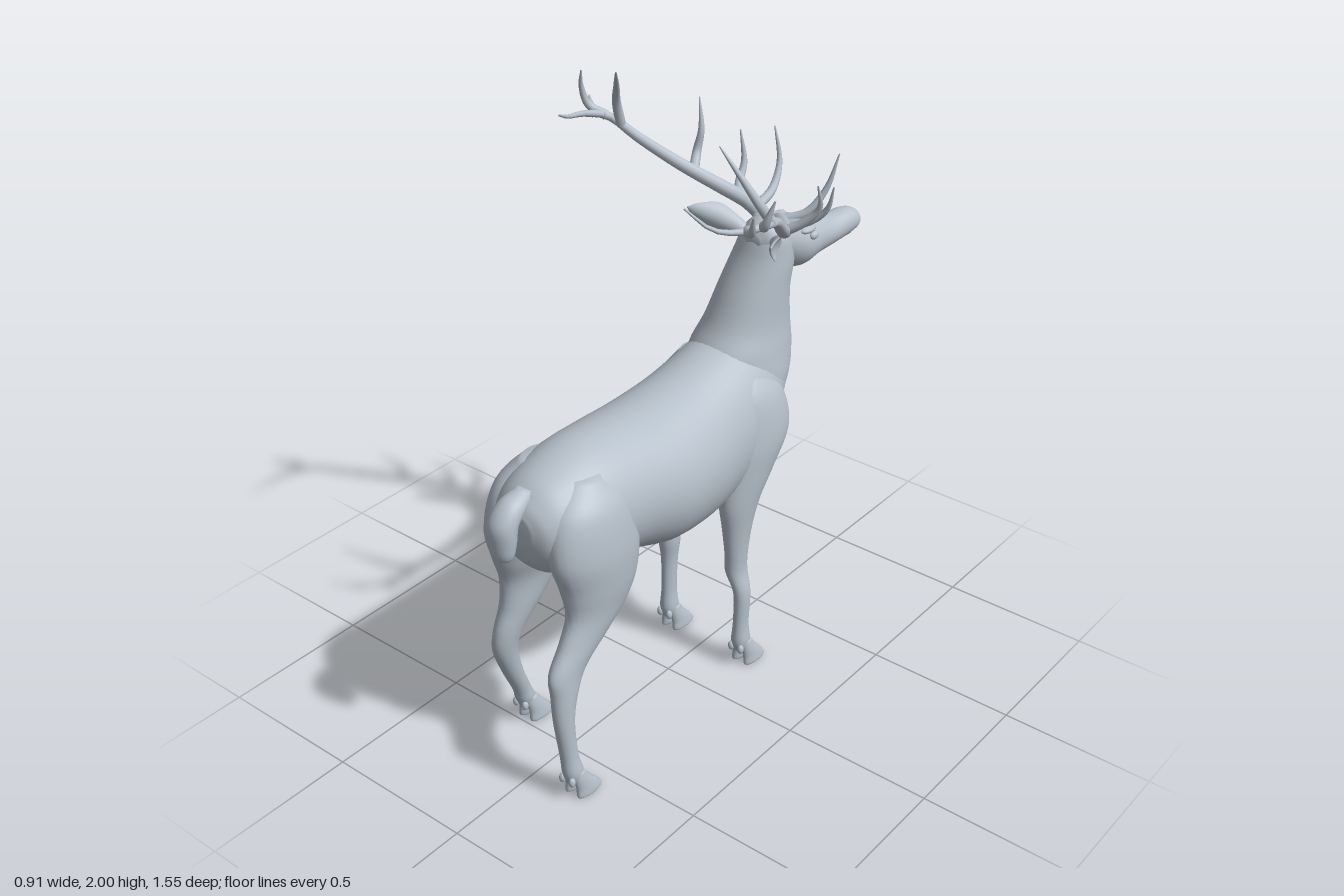
import * as THREE from 'three';

const hide = new THREE.MeshStandardMaterial({ color: 0xb6c0ca });
hide.name = 'pale slate';

// Smooth closed skin over elliptical rings [x, y, z, halfWidth, halfDepth, tiltDegrees].
// Tilt 0 stands the ring upright across z, tilt 90 lays it flat.
function loft(rings, sides = 28, steps = 6) {
  const v = (r, i) => new THREE.Vector3(r[i], r[i + 1], r[i + 2]);
  const centre = new THREE.CatmullRomCurve3(rings.map(r => v(r, 0)), false, 'catmullrom', 0.5);
  const shape = new THREE.CatmullRomCurve3(rings.map(r => v(r, 3)), false, 'catmullrom', 0.5);
  const n = (rings.length - 1) * steps, pos = [], idx = [];
  for (let i = 0; i <= n; i++) {
    const c = centre.getPoint(i / n), s = shape.getPoint(i / n), t = s.z * Math.PI / 180;
    for (let j = 0; j < sides; j++) {
      const a = j / sides * Math.PI * 2;
      const u = Math.cos(a) * Math.max(s.x, 0.001), w = Math.sin(a) * Math.max(s.y, 0.001);
      pos.push(c.x + u, c.y + w * Math.cos(t), c.z + w * Math.sin(t));
    }
  }
  for (let i = 0; i < n; i++) for (let j = 0; j < sides; j++) {
    const k = (j + 1) % sides, a = i * sides + j, b = i * sides + k;
    idx.push(a, b, a + sides, b, b + sides, a + sides);
  }
  const first = centre.getPoint(0), last = centre.getPoint(1), f = pos.length / 3;
  pos.push(first.x, first.y, first.z, last.x, last.y, last.z);
  for (let j = 0; j < sides; j++) {
    const k = (j + 1) % sides;
    idx.push(f, k, j, f + 1, n * sides + j, n * sides + k);
  }
  // turn the faces outward whichever way the rings run
  let volume = 0;
  const p = i => new THREE.Vector3().fromArray(pos, i * 3);
  for (let i = 0; i < idx.length; i += 3) volume += p(idx[i]).dot(p(idx[i + 1]).cross(p(idx[i + 2])));
  if (volume < 0) idx.reverse();
  const g = new THREE.BufferGeometry();
  g.setAttribute('position', new THREE.Float32BufferAttribute(pos, 3));
  g.setIndex(idx);
  g.computeVertexNormals();
  return g;
}

// Round branch that thins from r0 to r1 along a curve.
function branch(points, r0, r1) {
  const curve = new THREE.CatmullRomCurve3(points.map(p => new THREE.Vector3(...p)));
  const n = 24, sides = 10, g = new THREE.TubeGeometry(curve, n, r0, sides);
  const pos = g.attributes.position, v = new THREE.Vector3();
  for (let i = 0; i <= n; i++) {
    const c = curve.getPointAt(i / n), k = 1 + (r1 / r0 - 1) * Math.pow(i / n, 1.5);
    for (let j = 0; j <= sides; j++) {
      const q = i * (sides + 1) + j;
      v.fromBufferAttribute(pos, q).sub(c).multiplyScalar(k).add(c);
      pos.setXYZ(q, v.x, v.y, v.z);
    }
  }
  return g;
}

export function createModel() {
  const root = new THREE.Group();
  root.name = 'stag';
  const add = (name, geometry, parent = root) => {
    const m = new THREE.Mesh(geometry, hide);
    m.name = name;
    parent.add(m);
    return m;
  };
  const ball = (name, x, y, z, sx, sy, sz, parent) => {
    const m = add(name, new THREE.SphereGeometry(1, 16, 12), parent);
    m.position.set(x, y, z);
    m.scale.set(sx, sy, sz);
    return m;
  };

  // Torso as [z, top, bottom, half width], rump to chest
  add('torso', loft([
    [0.69, 0.97, 0.87, 0.05], [0.665, 1.01, 0.8, 0.11], [0.6, 1.06, 0.74, 0.155],
    [0.46, 1.1, 0.7, 0.185], [0.3, 1.1, 0.665, 0.2], [0.15, 1.09, 0.615, 0.22],
    [0, 1.1, 0.6, 0.215], [-0.1, 1.12, 0.605, 0.205], [-0.22, 1.15, 0.635, 0.195],
    [-0.32, 1.17, 0.71, 0.175], [-0.42, 1.17, 0.83, 0.14], [-0.49, 1.13, 0.93, 0.09],
    [-0.52, 1.08, 1.0, 0.03],
  ].map(([z, t, b, w]) => [0.005, (t + b) / 2, z, w, (t - b) / 2, 0]), 40));

  // Neck, from deep chest up to the poll
  add('neck', loft([
    [0, 0.8, -0.28, 0.1, 0.09, 90], [0, 0.9, -0.31, 0.15, 0.155, 90],
    [0, 1.0, -0.34, 0.165, 0.185, 90], [0.005, 1.1, -0.355, 0.15, 0.185, 90],
    [0.015, 1.19, -0.375, 0.128, 0.148, 90], [0.03, 1.3, -0.39, 0.112, 0.113, 90],
    [0.045, 1.4, -0.415, 0.1, 0.09, 90], [0.055, 1.48, -0.425, 0.08, 0.07, 90],
    [0.06, 1.52, -0.425, 0.03, 0.03, 90],
  ], 36));

  // Head, turned toward the left
  add('head', loft([
    [0.05, 1.46, -0.345, 0.025, 0.02, 0], [0.055, 1.455, -0.37, 0.06, 0.06, 0],
    [0.06, 1.445, -0.43, 0.085, 0.087, 0], [0.078, 1.42, -0.5, 0.089, 0.088, 0],
    [0.098, 1.42, -0.57, 0.072, 0.068, 0], [0.115, 1.413, -0.65, 0.054, 0.05, 0],
    [0.13, 1.422, -0.72, 0.046, 0.045, 0], [0.137, 1.424, -0.757, 0.037, 0.034, 0],
    [0.14, 1.424, -0.773, 0.012, 0.012, 0],
  ], 32));
  for (const s of [-1, 1]) {
    ball('eye', 0.085 + s * 0.076, 1.452, -0.53 + s * 0.014, 0.012, 0.014, 0.02);
    ball('brow', 0.08 + s * 0.066, 1.474, -0.515 + s * 0.014, 0.02, 0.013, 0.036);
    ball('nostril', 0.136 + s * 0.028, 1.436, -0.75 + s * 0.006, 0.01, 0.011, 0.015);
  }
  const lip = ball('lowerLip', 0.13, 1.39, -0.715, 0.032, 0.014, 0.038);
  lip.rotation.y = -0.22;

  // Cupped leaf-shaped ears
  const ear = (name, base, tip, facing) => {
    const a = new THREE.Vector3(...base), d = new THREE.Vector3(...tip).sub(a), len = d.length();
    const g = loft([[0, 0, 0, 0.02, 0.018, 90], [0, 0.25, 0, 0.036, 0.012, 90],
      [0, 0.55, 0, 0.045, 0.008, 90], [0, 0.85, 0, 0.024, 0.006, 90], [0, 1, 0, 0.002, 0.002, 90]]);
    const p = g.attributes.position;
    for (let i = 0; i < p.count; i++) p.setXYZ(i, p.getX(i), p.getY(i) * len, p.getZ(i) + 12 * p.getX(i) ** 2);
    const y = d.normalize(), x = new THREE.Vector3().crossVectors(y, new THREE.Vector3(...facing)).normalize();
    g.applyMatrix4(new THREE.Matrix4().makeBasis(x, y, x.clone().cross(y)).setPosition(a));
    g.computeVertexNormals();
    add(name, g);
  };
  ear('rightEar', [-0.005, 1.465, -0.385], [-0.16, 1.535, -0.29], [-0.3, -0.2, -1]);
  ear('leftEar', [0.115, 1.465, -0.375], [0.205, 1.525, -0.225], [1, -0.2, -0.3]);

  // Antlers: one beam each, then its tines
  const antler = (name, beam, tines) => {
    const g = new THREE.Group();
    g.name = name;
    root.add(g);
    add('beam', branch(beam, 0.025, 0.003), g);
    ball('burr', ...beam[0], 0.032, 0.02, 0.032, g);
    for (const t of tines) add('tine', branch(t, 0.016, 0.002), g);
  };
  antler('rightAntler',
    [[0.025, 1.51, -0.43], [-0.03, 1.54, -0.43], [-0.11, 1.575, -0.405], [-0.22, 1.645, -0.335], [-0.32, 1.735, -0.25],
      [-0.385, 1.805, -0.19], [-0.405, 1.835, -0.1], [-0.39, 1.855, -0.01], [-0.36, 1.89, 0.065]],
    [
      [[0, 1.53, -0.43], [-0.005, 1.56, -0.52], [-0.02, 1.63, -0.575], [-0.045, 1.74, -0.58]],
      [[-0.06, 1.555, -0.42], [-0.095, 1.58, -0.47], [-0.105, 1.63, -0.505], [-0.125, 1.73, -0.51]],
      [[-0.19, 1.625, -0.36], [-0.21, 1.67, -0.4], [-0.205, 1.74, -0.415], [-0.225, 1.835, -0.43]],
      [[-0.36, 1.78, -0.215], [-0.35, 1.86, -0.185], [-0.315, 1.93, -0.145], [-0.265, 2.0, -0.085]],
      [[-0.385, 1.81, -0.18], [-0.435, 1.84, -0.155], [-0.45, 1.9, -0.14], [-0.44, 1.955, -0.13]],
      [[-0.4, 1.82, -0.15], [-0.43, 1.815, -0.17], [-0.455, 1.86, -0.18]],
    ]);
  antler('leftAntler',
    [[0.085, 1.51, -0.425], [0.12, 1.53, -0.39], [0.2, 1.56, -0.3], [0.26, 1.6, -0.21], [0.32, 1.66, -0.11],
      [0.375, 1.735, 0], [0.395, 1.755, 0.08], [0.37, 1.765, 0.18], [0.34, 1.79, 0.245], [0.285, 1.85, 0.29]],
    [
      [[0.11, 1.525, -0.41], [0.175, 1.555, -0.45], [0.215, 1.63, -0.49], [0.24, 1.74, -0.515]],
      [[0.15, 1.54, -0.36], [0.225, 1.56, -0.385], [0.28, 1.61, -0.4], [0.305, 1.69, -0.395]],
      [[0.27, 1.61, -0.19], [0.325, 1.645, -0.21], [0.37, 1.7, -0.225], [0.375, 1.775, -0.205]],
      [[0.39, 1.745, 0.03], [0.37, 1.81, 0.07], [0.32, 1.89, 0.095], [0.26, 1.96, 0.105]],
      [[0.395, 1.755, 0.08], [0.42, 1.775, 0.11], [0.445, 1.85, 0.1]],
      [[0.385, 1.76, 0.14], [0.42, 1.775, 0.17], [0.44, 1.83, 0.19]],
    ]);

  // Legs as [x, y, z, half width, half depth], mirrored by s, ending in cloven hooves
  const leg = (name, s, rows) => {
    const g = new THREE.Group();
    g.name = name;
    root.add(g);
    add('limb', loft(rows.map(([x, ...r]) => [s * x, ...r, 90])), g);
    const [fx, , fz] = rows[rows.length - 1];
    for (const k of [-1, 1]) {
      const x = s * fx + k * 0.019;
      add('toe', loft([[x, 0.1, fz, 0.012, 0.02, 90], [x, 0.07, fz - 0.01, 0.018, 0.03, 90],
        [x + k * 0.003, 0.035, fz - 0.028, 0.02, 0.042, 90], [x + k * 0.005, 0.008, fz - 0.037, 0.02, 0.052, 90],
        [x + k * 0.005, 0, fz - 0.037, 0.015, 0.045, 90]], 16, 4), g);
      ball('dewclaw', x, 0.078, fz + 0.034, 0.011, 0.017, 0.011, g);
    }
  };
  const thigh = [[0.08, 1.05, 0.49, 0.05, 0.06], [0.105, 0.97, 0.5, 0.09, 0.14], [0.125, 0.84, 0.5, 0.094, 0.17],
    [0.135, 0.72, 0.49, 0.08, 0.15]];
  leg('leftHindLeg', 1, [...thigh, [0.14, 0.63, 0.505, 0.062, 0.125], [0.14, 0.55, 0.565, 0.05, 0.1],
    [0.14, 0.47, 0.64, 0.04, 0.077], [0.145, 0.4, 0.665, 0.035, 0.052], [0.15, 0.3, 0.678, 0.03, 0.036],
    [0.155, 0.17, 0.668, 0.027, 0.03], [0.16, 0.1, 0.658, 0.031, 0.035], [0.16, 0.06, 0.65, 0.025, 0.03]]);
  leg('rightHindLeg', -1, [...thigh, [0.145, 0.63, 0.485, 0.062, 0.125], [0.15, 0.53, 0.525, 0.05, 0.087],
    [0.16, 0.44, 0.575, 0.04, 0.06], [0.17, 0.36, 0.588, 0.035, 0.045], [0.18, 0.25, 0.553, 0.03, 0.035],
    [0.19, 0.15, 0.508, 0.027, 0.031], [0.195, 0.1, 0.488, 0.031, 0.034], [0.195, 0.06, 0.475, 0.025, 0.03]]);
  for (const s of [-1, 1]) {
    const foot = s > 0 ? 0.165 : 0.14;
    leg(s > 0 ? 'leftForeLeg' : 'rightForeLeg', s, [
      [0.09, 1.09, -0.24, 0.04, 0.05], [0.12, 1.0, -0.26, 0.075, 0.12], [0.14, 0.86, -0.265, 0.08, 0.145],
      [0.14, 0.74, -0.225, 0.07, 0.115], [0.14, 0.64, -0.19, 0.055, 0.085], [0.14, 0.54, -0.18, 0.042, 0.06],
      [0.14, 0.44, -0.178, 0.034, 0.045], [0.14, 0.37, -0.18, 0.034, 0.041], [foot, 0.29, -0.18, 0.026, 0.032],
      [foot, 0.17, -0.178, 0.024, 0.03], [foot, 0.1, -0.18, 0.03, 0.035], [foot, 0.06, -0.188, 0.025, 0.03],
    ]);
  }

  // Short drooping tail
  add('tail', loft([[-0.005, 1.03, 0.63, 0.025, 0.03, 60], [-0.005, 1.005, 0.69, 0.042, 0.04, 60],
    [-0.008, 0.96, 0.73, 0.048, 0.042, 80], [-0.01, 0.9, 0.735, 0.046, 0.038, 90],
    [-0.01, 0.855, 0.735, 0.036, 0.028, 95], [-0.01, 0.835, 0.732, 0.012, 0.01, 95]]));
  return root;
}
